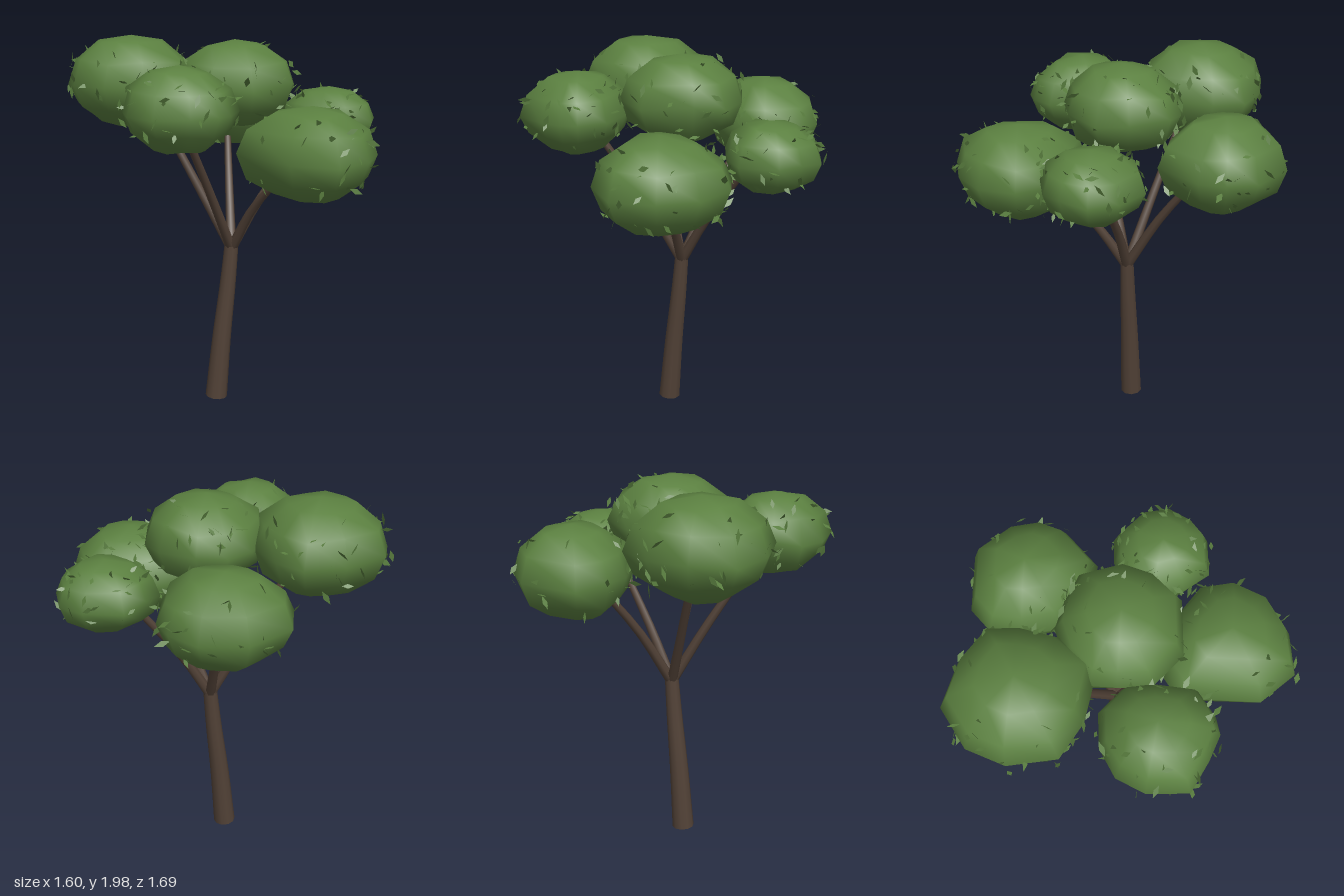
import * as THREE from 'three';
import { mergeGeometries, mergeVertices } from 'three/addons/utils/BufferGeometryUtils.js';

const V = (x, y, z) => new THREE.Vector3(x, y, z);

// Small seeded random generator
function seeded(seed) {
  return () => {
    seed = (seed * 16807) % 2147483647;
    return seed / 2147483647;
  };
}

// Tapered, capped tube along a smooth curve
function limb(points, r0, r1, segments, sides) {
  const curve = new THREE.CatmullRomCurve3(points);
  const tube = new THREE.TubeGeometry(curve, segments, 1, sides);
  const pos = tube.attributes.position;
  const p = V(0, 0, 0);
  for (let i = 0; i <= segments; i++) {
    const t = i / segments;
    const c = curve.getPointAt(t);
    for (let j = 0; j <= sides; j++) {
      const k = i * (sides + 1) + j;
      p.fromBufferAttribute(pos, k).sub(c).multiplyScalar(r0 + (r1 - r0) * t).add(c);
      pos.setXYZ(k, p.x, p.y, p.z);
    }
  }
  const caps = [[0, r0, -1], [1, r1, 1]].map(([t, r, sign]) => {
    const cap = new THREE.CircleGeometry(r, sides);
    const dir = curve.getTangentAt(t).multiplyScalar(sign);
    const c = curve.getPointAt(t);
    cap.applyQuaternion(new THREE.Quaternion().setFromUnitVectors(V(0, 0, 1), dir));
    return cap.translate(c.x, c.y, c.z);
  });
  return mergeGeometries([tube, ...caps]);
}

// Low-poly ball whose rings follow a plan outline around a centre
function clump(center, height, outline, rand) {
  const n = outline.length;
  const rows = 6;
  let geo = new THREE.SphereGeometry(1, n, rows);
  const pos = geo.attributes.position;
  for (let i = 0; i <= rows; i++) {
    const angle = Math.PI * i / rows;
    const lift = outline.map(() => (rand() - 0.5) * 0.16 * Math.sin(angle));
    for (let j = 0; j <= n; j++) {
      const [x, z] = outline[j % n];
      const w = Math.sin(angle);
      pos.setXYZ(i * (n + 1) + j,
        center.x + (x - center.x) * w,
        center.y + (Math.cos(angle) + lift[j % n]) * height,
        center.z + (z - center.z) * w);
    }
  }
  geo.deleteAttribute('uv');
  geo.deleteAttribute('normal');
  geo = mergeVertices(geo, 1e-4);
  geo.computeVertexNormals();
  return geo;
}

// Loose diamond leaves scattered over the surface of a clump
function leafScatter(center, height, outline, count, rand) {
  const shape = new THREE.Shape([[0, -0.036], [0.014, 0], [0, 0.036], [-0.014, 0]]
    .map(([x, y]) => new THREE.Vector2(x, y)));
  const leaves = [];
  for (let i = 0; i < count; i++) {
    const k = Math.floor(rand() * outline.length);
    const t = rand();
    const [x0, z0] = outline[k];
    const [x1, z1] = outline[(k + 1) % outline.length];
    const h = rand() * 1.5 - 0.65;
    const out = 0.96 + rand() * 0.13;
    const w = Math.sqrt(1 - h * h) * out;
    const s = 0.65 + rand() * 0.45;
    const leaf = new THREE.ShapeGeometry(shape);
    leaf.scale(s, s, s);
    leaf.rotateX(rand() * 6.3).rotateY(rand() * 6.3).rotateZ(rand() * 6.3);
    leaf.translate(
      center.x + (x0 + (x1 - x0) * t - center.x) * w,
      center.y + h * height * out,
      center.z + (z0 + (z1 - z0) * t - center.z) * w
    );
    leaves.push(leaf);
  }
  return mergeGeometries(leaves);
}

export function createModel() {
  const bark = new THREE.MeshStandardMaterial({ color: 0x524237 });
  bark.name = 'bark brown';
  const foliage = new THREE.MeshStandardMaterial({ color: 0x5b8040 });
  foliage.name = 'foliage green';
  const leafGreen = new THREE.MeshStandardMaterial({ color: 0x587c3e, side: THREE.DoubleSide });
  leafGreen.name = 'leaf green';

  const tree = new THREE.Group();
  tree.name = 'tree';
  const add = (name, geometry, material) => {
    const mesh = new THREE.Mesh(geometry, material);
    mesh.name = name;
    tree.add(mesh);
  };

  // Leaning trunk
  add('trunk', limb([V(-0.08, 0.006, 0), V(-0.047, 0.36, 0), V(-0.012, 0.66, 0), V(0.01, 0.89, 0)],
    0.06, 0.037, 10, 10), bark);

  // Branches fanning out from the trunk top: bend, then tip
  const branches = {
    backRightBranch: [V(0.055, 1.18, -0.19), V(0.11, 1.46, -0.4)],
    backLeftBranch: [V(-0.15, 1.2, -0.09), V(-0.34, 1.6, -0.2)],
    frontLeftBranch: [V(-0.14, 1.2, 0.12), V(-0.31, 1.56, 0.28)],
    frontRightBranch: [V(0.075, 1.11, 0.15), V(0.15, 1.29, 0.3)],
    rightBranch: [V(0.16, 1.11, 0), V(0.38, 1.4, 0.01)]
  };
  for (const [name, [bend, tip]] of Object.entries(branches)) {
    add(name, limb([V(0.01, 0.86, 0), bend, tip], 0.028, 0.018, 6, 7), bark);
  }

  // Foliage clumps: centre, half height, leaf count, plan outline (x, z)
  const clumps = {
    backLeft: [V(-0.45, 1.74, -0.27), 0.24, 55, [[-0.77, -0.18], [-0.65, 0.02], [-0.45, 0.05],
      [-0.2, 0], [-0.13, -0.22], [-0.16, -0.4], [-0.23, -0.55], [-0.43, -0.59], [-0.65, -0.56], [-0.77, -0.38]]],
    back: [V(0.15, 1.56, -0.53), 0.23, 50, [[-0.17, -0.58], [-0.12, -0.43], [-0.02, -0.28],
      [0.2, -0.23], [0.35, -0.25], [0.46, -0.47], [0.45, -0.6], [0.36, -0.73], [0.16, -0.83], [-0.1, -0.72]]],
    centre: [V(0.02, 1.75, 0.02), 0.22, 50, [[-0.29, 0], [-0.25, 0.12], [-0.18, 0.26], [0.02, 0.33],
      [0.26, 0.22], [0.33, 0.06], [0.31, -0.1], [0.19, -0.27], [0.03, -0.28], [-0.1, -0.26], [-0.22, -0.15]]],
    right: [V(0.55, 1.535, 0.005), 0.175, 55, [[0.31, -0.1], [0.32, 0.05], [0.42, 0.18], [0.55, 0.26],
      [0.72, 0.18], [0.78, 0.08], [0.8, -0.06], [0.72, -0.18], [0.54, -0.25], [0.41, -0.19]]],
    frontRight: [V(0.265, 1.455, 0.48), 0.235, 55, [[-0.08, 0.36], [0.06, 0.73], [0.26, 0.83],
      [0.45, 0.73], [0.57, 0.57], [0.59, 0.37], [0.5, 0.24], [0.25, 0.17], [0.03, 0.2]]],
    frontLeft: [V(-0.36, 1.685, 0.36), 0.205, 55, [[-0.62, 0.42], [-0.54, 0.6], [-0.37, 0.62], [-0.24, 0.62],
      [-0.17, 0.57], [-0.09, 0.45], [-0.15, 0.25], [-0.22, 0.13], [-0.37, 0.08], [-0.52, 0.15], [-0.61, 0.27]]]
  };
  const rand = seeded(4711);
  for (const [name, [center, height, count, outline]] of Object.entries(clumps)) {
    add(name + 'Foliage', clump(center, height, outline, rand), foliage);
    add(name + 'Leaves', leafScatter(center, height, outline, count, rand), leafGreen);
  }
  return tree;
}
